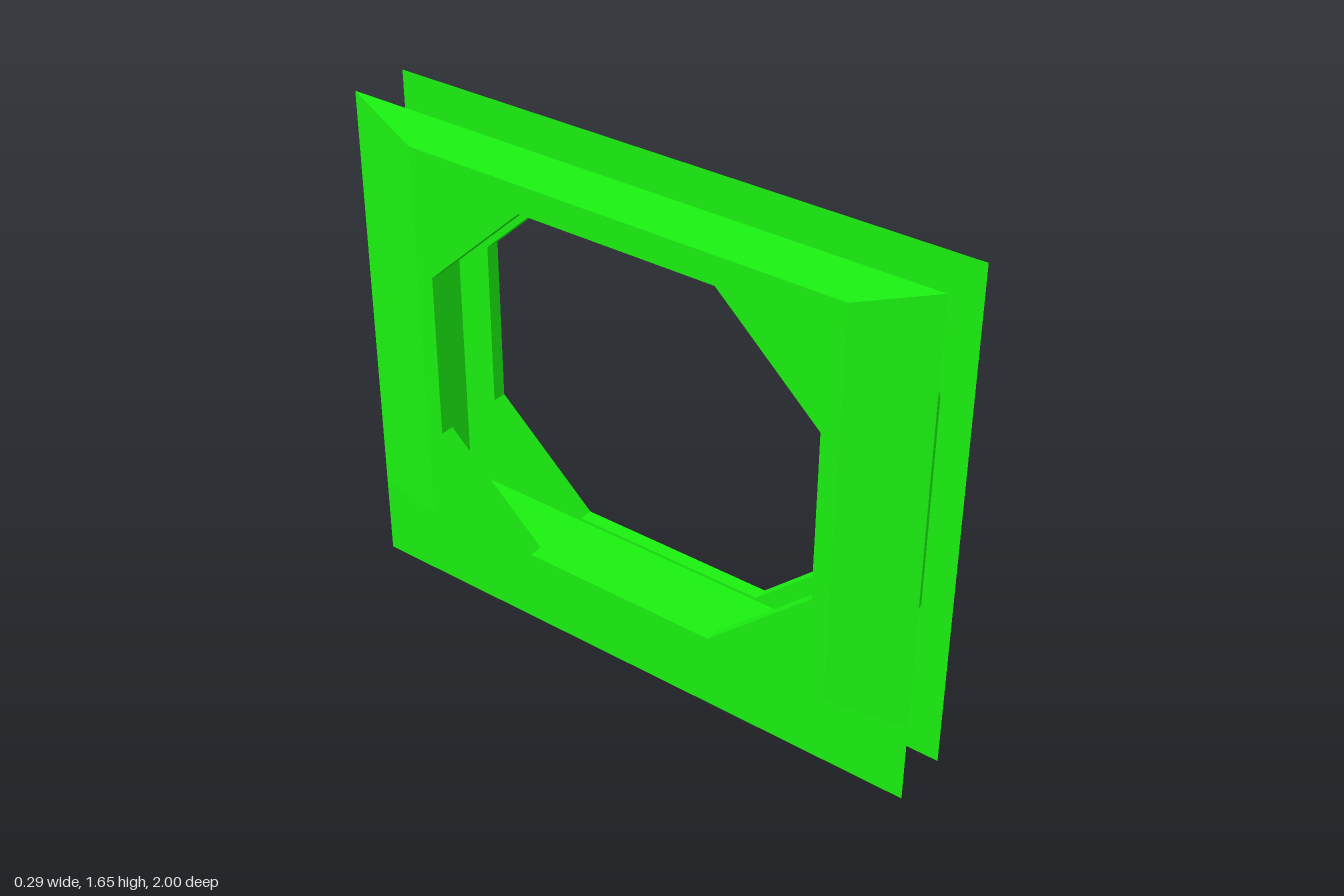
import * as THREE from 'three';

const material = new THREE.MeshStandardMaterial({ color: 0x1af010, flatShading: true, side: THREE.DoubleSide });

// Flat-shaded surface joining consecutive closed loops of points
function loft(loops) {
  const pos = [];
  const tri = (a, b, c) => {
    const area = b.clone().sub(a).cross(c.clone().sub(a)).length();
    if (area > 1e-7) for (const p of [a, b, c]) pos.push(p.x, p.y, p.z);
  };
  for (let k = 0; k + 1 < loops.length; k++) {
    const a = loops[k], b = loops[k + 1];
    for (let i = 0; i < a.length; i++) {
      const j = (i + 1) % a.length;
      tri(a[i], a[j], b[j]);
      tri(a[i], b[j], b[i]);
    }
  }
  const geometry = new THREE.BufferGeometry();
  geometry.setAttribute('position', new THREE.Float32BufferAttribute(pos, 3));
  geometry.computeVertexNormals();
  return geometry;
}

const rect = (w, y0, y1) => [[-w, y0], [w, y0], [w, y1], [-w, y1]];
const octagon = [[-0.34, 0.29], [0.34, 0.29], [0.69, 0.6], [0.69, 1.15],
  [0.34, 1.47], [-0.34, 1.47], [-0.69, 1.15], [-0.69, 0.6]];
const at = (points, z) => points.map(([x, y]) => new THREE.Vector3(x, y, z));

function mesh(name, geometry) {
  const m = new THREE.Mesh(geometry, material);
  m.name = name;
  return m;
}

// Flat panel with the octagonal opening
function panel(outline) {
  const shape = new THREE.Shape(outline.map(p => new THREE.Vector2(...p)));
  shape.holes.push(new THREE.Path(octagon.map(p => new THREE.Vector2(...p))));
  return new THREE.ShapeGeometry(shape);
}

// One side plate, built facing +z and then turned to face sideways
function sidePlate(name, turn) {
  const inner = 0.1, outer = 0.147;
  const plate = new THREE.Group();
  plate.name = name;
  plate.add(
    mesh('innerSheetAndSkirt', panel(rect(1, 0, 1.65)).rotateY(Math.PI).translate(0, 0, inner)),
    mesh('outerFace', panel(rect(0.75, 0.27, 1.56)).translate(0, 0, outer)),
    mesh('bevelledRim', loft([at(rect(1, 0.27, 1.65), inner), at(rect(0.75, 0.27, 1.56), outer)])),
    mesh('openingWall', loft([at(octagon, outer), at(octagon, inner)])),
  );
  plate.rotation.y = turn;
  return plate;
}

// Band between the plates: z, y, half width, y where it meets the plates
function innerBand() {
  const profile = [
    [-0.81, 1.49, 0.08, 1.46], [0.8, 1.49, 0.08, 1.46],
    [0.9, 1.22, 0.1, 1.22], [0.9, 0.53, 0.1, 0.53],
    [0.8, 0.26, 0.09, 0.28], [-0.81, 0.26, 0.09, 0.28],
  ];
  const edge = s => profile.map(([z, , , y]) => new THREE.Vector3(s * 0.1, y, z));
  const middle = s => profile.map(([z, y, w]) => new THREE.Vector3(s * w, y, z));
  return mesh('innerBand', loft([edge(-1), middle(-1), middle(1), edge(1)]));
}

export function createModel() {
  const group = new THREE.Group();
  group.name = 'framedPassage';
  group.add(
    sidePlate('leftPlate', Math.PI / 2),
    sidePlate('rightPlate', -Math.PI / 2),
    innerBand(),
  );
  return group;
}
